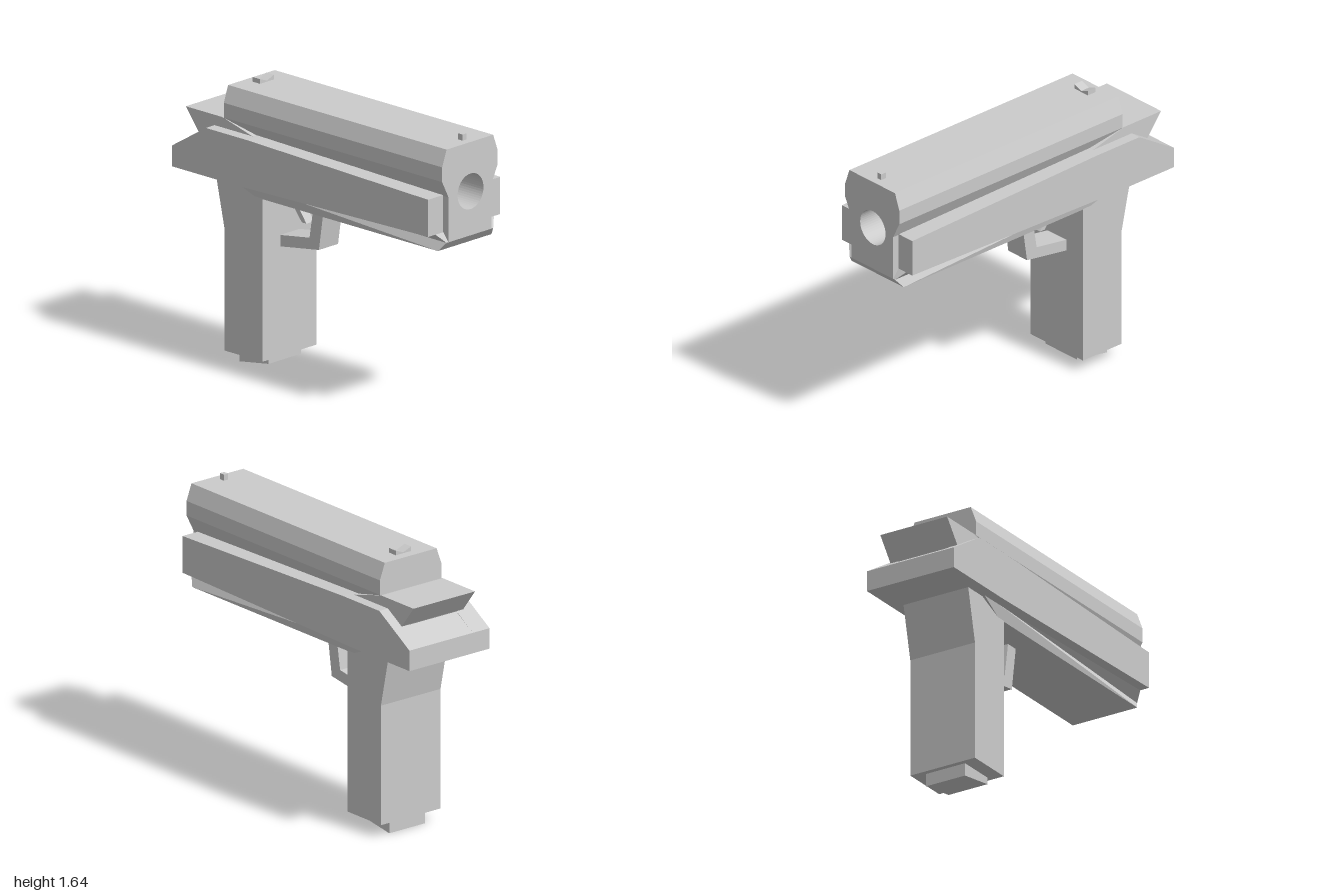
import * as THREE from 'three';

const MID = -0.006; // the body sits a hair off the centre plane
const material = new THREE.MeshStandardMaterial({ color: 0xcccccc, flatShading: true });

function shapeOf(points) {
  return new THREE.Shape(points.map(([x, y]) => new THREE.Vector2(x, y)));
}

export function createModel() {
  const group = new THREE.Group();

  function add(name, geometry) {
    const mesh = new THREE.Mesh(geometry, material);
    mesh.name = name;
    group.add(mesh);
    return mesh;
  }

  // Side profile (x, y) given thickness between z0 and z1
  function plate(name, points, z0, z1) {
    const g = new THREE.ExtrudeGeometry(shapeOf(points), { depth: z1 - z0, bevelEnabled: false });
    return add(name, g.translate(0, 0, z0));
  }
  const centred = (name, points, half, mid = MID) => plate(name, points, mid - half, mid + half);

  // Cross-section (across, y) swept along x
  function sweep(name, shape, x0, x1, z = MID) {
    const g = new THREE.ExtrudeGeometry(shape, { depth: x1 - x0, bevelEnabled: false, curveSegments: 24 });
    return add(name, g.rotateY(Math.PI / 2).translate(x0, 0, z));
  }

  // Slide with side grooves; its front part is bored
  const half = [[0.17, 1.07], [0.17, 1.33], [0.22, 1.43], [0.22, 1.515], [0.185, 1.61]];
  const section = [...half, ...half.map(([z, y]) => [-z, y]).reverse()];
  sweep('slideRear', shapeOf(section), -0.67, 0.4);
  const bored = shapeOf(section);
  bored.holes.push(new THREE.Path().absarc(0.005, 1.325, 0.103, 0, Math.PI * 2, true));
  sweep('slideFront', bored, 0.4, 1);

  // Lower frame, tapering toward the underside and the nose
  const frame = centred('lowerFrame', [
    [-0.62, 1.1], [-0.43, 1.02], [0.96, 1.02], [1, 1.07], [0.96, 1.12],
  ], 1, 0);
  const p = frame.geometry.attributes.position;
  for (let i = 0; i < p.count; i++) {
    const w = p.getX(i) > 0.98 ? 0.185 : p.getY(i) < 1.05 ? 0.212 : 0.232;
    p.setZ(i, Math.sign(p.getZ(i)) * w + MID);
  }
  frame.geometry.computeVertexNormals();

  // Side rails
  const rail = [
    [-1, 1.09], [-0.5, 1.09], [0.96, 1.12], [0.96, 1.335], [-0.42, 1.37], [-0.74, 1.37], [-1, 1.21],
  ];
  plate('leftRail', rail, 0.165, 0.284);
  plate('rightRail', rail, -0.288, -0.172);

  // Rear block joining the rails, and the overhanging tail
  plate('rearBlock', [
    [-1, 1.09], [-0.4, 1.09], [-0.4, 1.365], [-0.74, 1.365], [-1, 1.21],
  ], -0.172, 0.165);
  centred('tail', [
    [-0.96, 1.43], [-0.86, 1.3], [-0.8, 1.2], [-0.5, 1.25], [-0.45, 1.37], [-0.68, 1.43],
  ], 0.22);

  // Grip and magazine base
  centred('grip', [
    [-0.74, 1.1], [-0.67, 0.78], [-0.67, 0.08], [-0.38, 0.08], [-0.38, 1.1],
  ], 0.213);
  centred('magazineBase', [
    [-0.64, 0.1], [-0.64, 0.005], [-0.415, 0.04], [-0.415, 0.1],
  ], 0.128);

  // Trigger and its guard
  centred('triggerGuard', [
    [-0.4, 0.712], [-0.085, 0.76], [-0.043, 1.04], [-0.12, 1.04], [-0.157, 0.815], [-0.4, 0.778],
  ], 0.076, -0.01);
  centred('trigger', [
    [-0.32, 1.04], [-0.32, 0.945], [-0.26, 0.87], [-0.225, 0.87], [-0.285, 0.95], [-0.285, 1.04],
  ], 0.03, -0.01);

  // Notched rear sight and front post
  sweep('rearSight', shapeOf([
    [-0.055, 1.6], [0.055, 1.6], [0.055, 1.637], [0, 1.616], [-0.055, 1.637],
  ]), -0.615, -0.558, -0.012);
  add('frontSight', new THREE.BoxGeometry(0.034, 0.045, 0.03).translate(0.935, 1.623, -0.012));

  return group;
}
